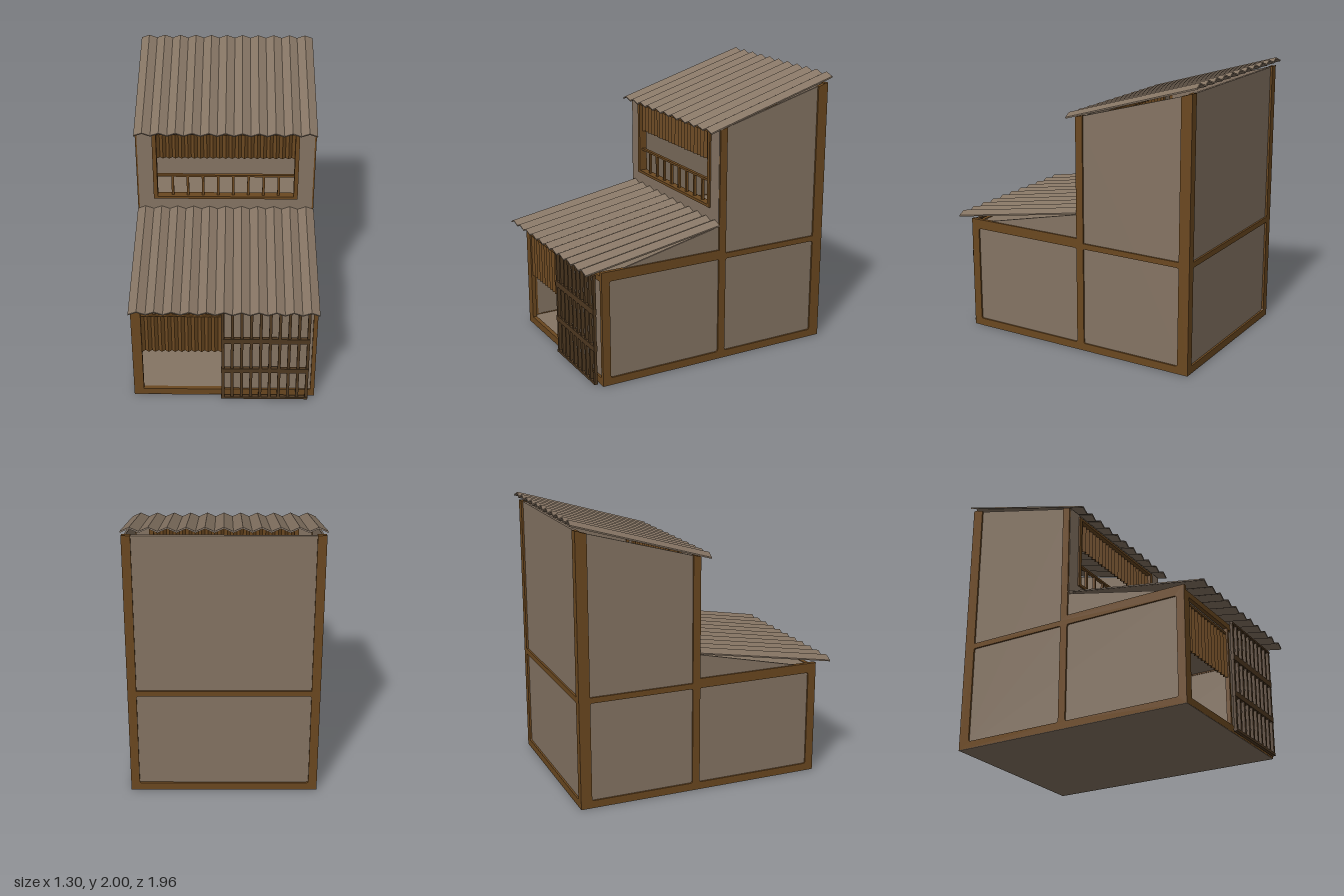
import * as THREE from 'three';

const mat = (name, color, side = THREE.FrontSide) => {
  const m = new THREE.MeshStandardMaterial({ color, side });
  m.name = name;
  return m;
};

export function createModel() {
  const plaster = mat('plaster', 0x857463);
  const wood = mat('warm wood', 0x6b4820);
  const darkWood = mat('dark wood', 0x4f3921);
  const model = new THREE.Group();

  const add = (name, geometry, material, parent = model) => {
    const mesh = new THREE.Mesh(geometry, material);
    mesh.name = name;
    parent.add(mesh);
    return mesh;
  };
  // Box given by its minimum and maximum corners
  const box = (name, material, x0, x1, y0, y1, z0, z1, parent) => {
    const g = new THREE.BoxGeometry(x1 - x0, y1 - y0, z1 - z0);
    g.translate((x0 + x1) / 2, (y0 + y1) / 2, (z0 + z1) / 2);
    return add(name, g, material, parent);
  };
  const polygon = pts => new THREE.Shape(pts.map(p => new THREE.Vector2(...p)));
  const rounded = (x0, x1, y0, y1, r = 0.015) => {
    const p = new THREE.Path();
    p.moveTo(x0 + r, y0);
    p.lineTo(x1 - r, y0).quadraticCurveTo(x1, y0, x1, y0 + r);
    p.lineTo(x1, y1 - r).quadraticCurveTo(x1, y1, x1 - r, y1);
    p.lineTo(x0 + r, y1).quadraticCurveTo(x0, y1, x0, y1 - r);
    p.lineTo(x0, y0 + r).quadraticCurveTo(x0, y0, x0 + r, y0);
    return p;
  };
  const rect = (x0, x1, y0, y1) => polygon([[x0, y0], [x1, y0], [x1, y1], [x0, y1]]);
  const slab = (shape, depth, z) => {
    const g = new THREE.ExtrudeGeometry(shape, { depth, bevelEnabled: false, curveSegments: 3 });
    return g.translate(0, 0, z);
  };
  // Slab standing in the side plane: points are [z, y], spanning x0..x1
  const sideSlab = (pts, holes, x0, x1) => {
    const s = polygon(pts.map(([z, y]) => [-z, y]));
    s.holes.push(...holes);
    return slab(s, x1 - x0, x0).rotateY(Math.PI / 2);
  };
  // Zigzag sheet running along +z
  const corrugated = (width, folds, height, thick, length) => {
    const top = [], bottom = [];
    for (let i = 0; i <= folds * 2; i++) {
      const x = -width / 2 + (width * i) / (folds * 2);
      const y = i % 2 ? height : 0;
      top.push([x, y + thick]);
      bottom.unshift([x, y]);
    }
    return slab(polygon([...top, ...bottom]), length, 0);
  };

  // Floors
  box('basePlate', plaster, -0.65, 0.65, 0, 0.003, -0.94, 0.86);
  box('groundFloor', plaster, -0.63, 0.63, 0.003, 0.05, -0.92, 0.84);
  box('upperFloor', plaster, -0.63, 0.63, 0.77, 0.795, -0.92, 0.84);

  // Side walls: timber frame, recessed panels and the gable under the porch roof
  const frame = [[0.86, 0.003], [0.86, 0.83], [-0.055, 0.83], [-0.055, 1.69], [-0.11, 1.705],
    [-0.11, 0.8], [-0.86, 0.8], [-0.86, 1.91], [-0.94, 1.933], [-0.94, 0.003]];
  const wall = [[0.84, 0.01], [0.84, 0.8], [-0.07, 0.8], [-0.07, 1.69], [-0.92, 1.925], [-0.92, 0.01]];
  for (const side of [1, -1]) {
    const group = new THREE.Group();
    group.name = side > 0 ? 'leftWall' : 'rightWall';
    model.add(group);
    const span = (a, b) => (side > 0 ? [a, b] : [-b, -a]);
    const holes = [rounded(-0.8, 0.055, 0.055, 0.76), rounded(0.11, 0.86, 0.055, 0.76)];
    add('sideFrame', sideSlab(frame, holes, ...span(0.62, 0.65)), wood, group);
    add('sidePanel', sideSlab(wall, [], ...span(0.625, 0.638)), plaster, group);
    add('porchGable', sideSlab([[0.7, 0.828], [-0.06, 0.828], [-0.06, 1.0]], [], ...span(0.625, 0.638)), plaster, group);
  }

  // Back wall
  const backFrame = polygon([[-0.649, 0.004], [0.649, 0.004], [0.649, 1.93], [0.59, 1.93],
    [0.59, 0.8], [-0.59, 0.8], [-0.59, 1.93], [-0.649, 1.93]]);
  backFrame.holes.push(rounded(-0.59, 0.59, 0.055, 0.76));
  add('backFrame', slab(backFrame, 0.03, -0.94), wood);
  box('backPanel', plaster, -0.63, 0.63, 0.01, 1.925, -0.926, -0.908);
  box('innerBackPanel', wood, -0.53, 0.53, 1.11, 1.67, -0.908, -0.902);

  // Ground floor front: frame with doorway and plaster panel
  const front = rect(-0.649, 0.649, 0.004, 0.8);
  front.holes.push(rect(-0.58, -0.02, 0.055, 0.76), rounded(0, 0.63, 0.055, 0.76));
  add('frontFrame', slab(front, 0.03, 0.83), wood);
  box('frontPanel', plaster, -0.015, 0.64, 0.03, 0.78, 0.83, 0.845);

  // Pleated hangings in the doorway and window
  const hanging = (name, x, width, folds, y0, y1, z) => {
    const mesh = add(name, corrugated(width, folds, 0.02, 0.006, y1 - y0), wood);
    mesh.rotation.x = -Math.PI / 2;
    mesh.position.set(x, y0, z);
  };
  hanging('doorCurtain', -0.3, 0.56, 12, 0.395, 0.735, 0.85);
  box('curtainRod', wood, -0.58, -0.02, 0.715, 0.73, 0.835, 0.85);
  hanging('windowBlind', 0, 1.0, 22, 1.44, 1.65, -0.065);

  // Sliding lattice door
  const lattice = new THREE.Group();
  lattice.name = 'latticeDoor';
  model.add(lattice);
  for (let i = 0; i < 10; i++) {
    const x = -0.02 + i * 0.0665;
    box('latticeBar', darkWood, x, x + 0.021, 0.004, 0.8, 0.88, 0.9, lattice);
  }
  for (const [y0, y1] of [[0.002, 0.02], [0.25, 0.288], [0.518, 0.56], [0.788, 0.802]])
    box('latticeRail', darkWood, -0.022, 0.6, y0, y1, 0.877, 0.903, lattice);

  // Upper front wall with window opening
  const upper = rect(-0.638, 0.638, 0.8, 1.69);
  upper.holes.push(rect(-0.51, 0.51, 1.12, 1.66));
  add('upperFrontWall', slab(upper, 0.035, -0.087), plaster);
  const windowFrame = rect(-0.53, 0.53, 1.11, 1.67);
  windowFrame.holes.push(rect(-0.5, 0.5, 1.13, 1.65));
  add('windowFrame', slab(windowFrame, 0.06, -0.1), wood);

  // Window railing
  const railing = new THREE.Group();
  railing.name = 'windowRailing';
  model.add(railing);
  box('topRail', wood, -0.5, 0.5, 1.288, 1.303, -0.085, -0.06, railing);
  for (let i = 1; i < 9; i++) {
    const x = -0.5 + i / 9;
    box('baluster', wood, x - 0.009, x + 0.009, 1.12, 1.29, -0.082, -0.063, railing);
  }

  // Corrugated roofs, from their front lower edge up to the back
  const roof = (name, zFront, yFront, zBack, yBack) => {
    const rise = yBack - yFront, run = zFront - zBack;
    const mesh = add(name, corrugated(1.305, 11, 0.026, 0.01, Math.hypot(rise, run)), plaster);
    mesh.rotation.x = Math.atan2(rise, run);
    mesh.position.set(0, yBack, zBack);
  };
  roof('upperRoof', 0.02, 1.67, -0.975, 1.965);
  roof('porchRoof', 0.975, 0.825, -0.055, 1.005);

  return model;
}
